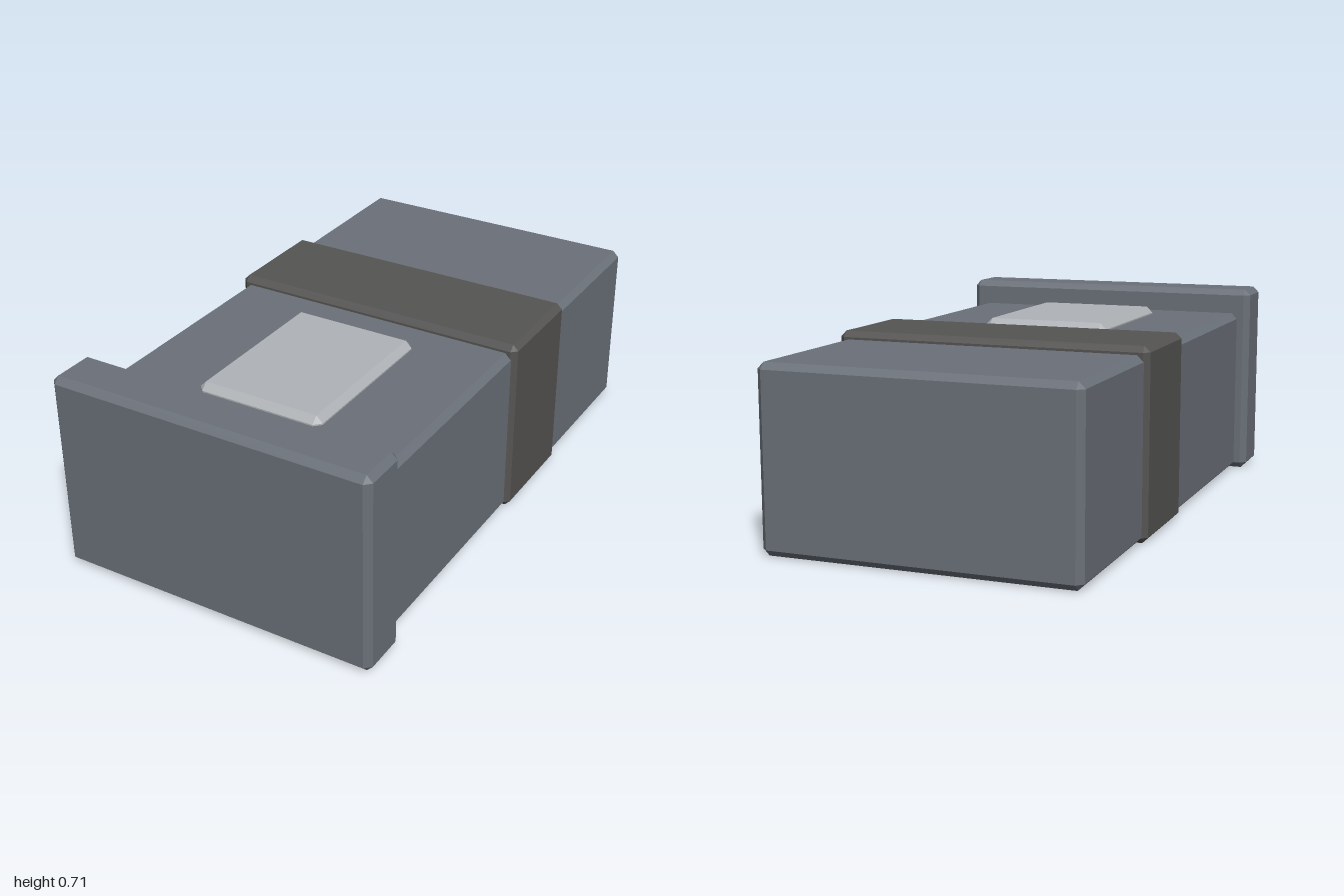
import * as THREE from 'three';
import { ConvexGeometry } from 'three/addons/geometries/ConvexGeometry.js';

// Box with flat chamfered edges, spanning +-halfWidth in x and the given y and z ranges
function chamferBox(name, color, halfWidth, [y0, y1], [z0, z1], chamfer) {
  const half = [halfWidth, (y1 - y0) / 2, (z1 - z0) / 2];
  const points = [];
  for (const sx of [-1, 1]) for (const sy of [-1, 1]) for (const sz of [-1, 1]) {
    // Each corner becomes three points, one lying on each adjoining face
    for (let face = 0; face < 3; face++) {
      const [x, y, z] = half.map((h, axis) => (axis === face ? h : h - chamfer));
      points.push(new THREE.Vector3(sx * x, sy * y, sz * z));
    }
  }
  const material = new THREE.MeshStandardMaterial({ color, flatShading: true });
  const mesh = new THREE.Mesh(new ConvexGeometry(points), material);
  mesh.name = name;
  mesh.position.set(0, (y0 + y1) / 2, (z0 + z1) / 2);
  return mesh;
}

export function createModel() {
  const model = new THREE.Group();
  model.name = 'drawerBox';
  const slate = 0x6b7179;

  model.add(
    // Long main body, a hair above the ground so the band reads underneath
    chamferBox('body', slate, 0.54, [0.001, 0.622], [-1, 0.9], 0.022),
    // Taller, wider plate closing the front
    chamferBox('frontPlate', slate, 0.587, [0, 0.715], [0.815, 1], 0.022),
    // Dark band wrapped around the body
    chamferBox('band', 0x555453, 0.557, [0, 0.65], [-0.425, -0.025], 0.02),
    // Pale raised panel on top
    chamferBox('topPanel', 0xb0b3b7, 0.233, [0.575, 0.65], [0.09, 0.705], 0.023),
  );
  return model;
}
